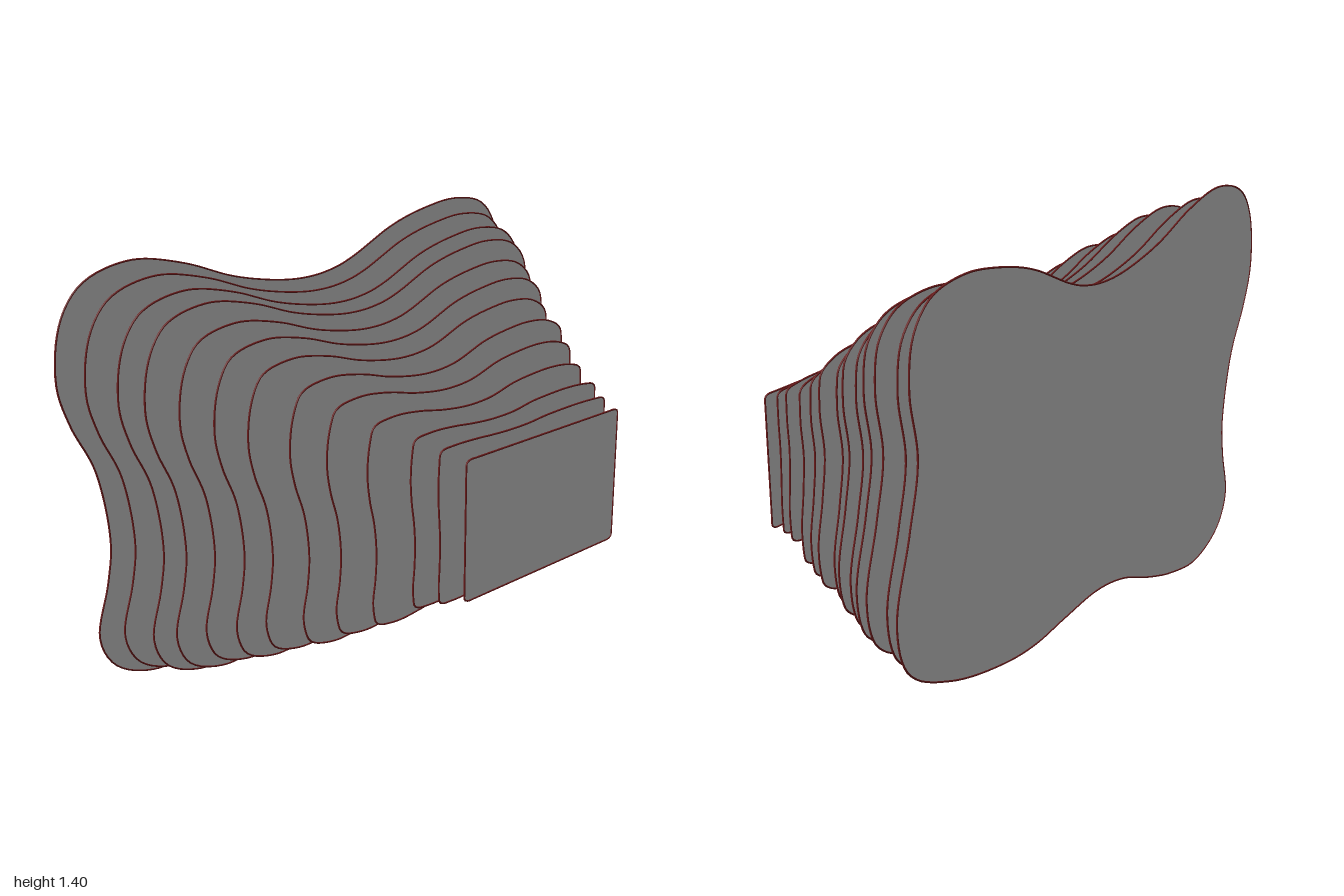
import * as THREE from 'three';

// Wavy outline of the rearmost plate, one list per side, each starting at its corner (counter-clockwise)
const SIDES = [
  [[-0.865, 0.075], [-0.71, 0.008], [-0.53, 0.03], [-0.37, 0.08], [-0.18, 0.155], [-0.02, 0.18], [0.17, 0.165], [0.33, 0.148], [0.49, 0.16], [0.755, 0.23]],
  [[0.945, 0.345], [0.99, 0.51], [0.93, 0.755], [0.89, 0.95], [0.92, 1.15]],
  [[0.9, 1.29], [0.83, 1.37], [0.69, 1.4], [0.54, 1.385], [0.38, 1.345], [0.13, 1.24], [-0.05, 1.22], [-0.31, 1.265], [-0.53, 1.345], [-0.72, 1.38]],
  [[-0.89, 1.335], [-0.97, 1.235], [-1, 1.05], [-0.965, 0.915], [-0.89, 0.75], [-0.855, 0.5], [-0.875, 0.37], [-0.92, 0.19]],
];

// Corners of the front plate, in the same order
const CORNERS = [[-0.175, 0.37], [0.55, 0.37], [0.55, 0.832], [-0.175, 0.832]];

// Each plate: z, left, right, bottom, top
const PLATES = [
  [-0.443, -0.998, 0.998, 0.005, 1.4],
  [-0.378, -0.94, 0.96, 0.03, 1.355],
  [-0.278, -0.895, 0.927, 0.045, 1.32],
  [-0.217, -0.845, 0.898, 0.065, 1.285],
  [-0.153, -0.77, 0.85, 0.095, 1.225],
  [-0.074, -0.705, 0.81, 0.12, 1.178],
  [-0.012, -0.63, 0.76, 0.15, 1.12],
  [0.082, -0.55, 0.725, 0.185, 1.066],
  [0.149, -0.465, 0.685, 0.222, 1.006],
  [0.228, -0.375, 0.64, 0.26, 0.946],
  [0.32, -0.285, 0.595, 0.33, 0.9],
  [0.38, -0.228, 0.567, 0.352, 0.863],
  [0.443, -0.175, 0.553, 0.37, 0.832],
];

const PER_SIDE = 36;

// Matching point lists for the wavy outline and the rectangle
function matchedOutlines() {
  const controls = SIDES.flat().map(([x, y]) => new THREE.Vector3(x, y, 0));
  const curve = new THREE.CatmullRomCurve3(controls, true);
  const wavy = [], rect = [];
  let first = 0;
  SIDES.forEach((side, k) => {
    const a = new THREE.Vector2(...CORNERS[k]);
    const b = new THREE.Vector2(...CORNERS[(k + 1) % 4]);
    const centre = new THREE.Vector2(0.1875, 0.601);
    for (let i = 0; i < PER_SIDE; i++) {
      const s = i / PER_SIDE;
      const p = curve.getPoint((first + side.length * s) / controls.length);
      wavy.push(new THREE.Vector2(p.x, p.y));
      const q = a.clone().lerp(b, s);
      // slightly rounded corner
      if (i === 0) q.add(new THREE.Vector2(Math.sign(centre.x - a.x), Math.sign(centre.y - a.y)).multiplyScalar(0.005));
      rect.push(q);
    }
    first += side.length;
  });
  return { wavy, rect };
}

// Blend the two outlines and fit the result to the plate's bounds
function plateOutline({ wavy, rect }, [, left, right, bottom, top]) {
  const t = (-0.175 - left) / (0.998 - 0.175);
  const pts = rect.map((p, i) => p.clone().lerp(wavy[i], t));
  const box = new THREE.Box2().setFromPoints(pts);
  const { mapLinear } = THREE.MathUtils;
  return pts.map((p) => new THREE.Vector2(
    mapLinear(p.x, box.min.x, box.max.x, left, right),
    mapLinear(p.y, box.min.y, box.max.y, bottom, top)));
}

export function createModel() {
  const model = new THREE.Group();
  model.name = 'layeredPlates';
  const grey = new THREE.MeshStandardMaterial({ color: 0xcccccc, side: THREE.DoubleSide });
  const red = new THREE.MeshStandardMaterial({ color: 0x6b1a1a });
  const outlines = matchedOutlines();

  PLATES.forEach((plate, i) => {
    const pts = plateOutline(outlines, plate);
    const layer = new THREE.Group();
    layer.name = `layer${i + 1}`;
    layer.position.z = plate[0];

    // flat sheet
    const sheet = new THREE.Mesh(new THREE.ShapeGeometry(new THREE.Shape(pts)), grey);
    sheet.name = 'plate';

    // thin dark rim
    const path = new THREE.CatmullRomCurve3(pts.map((p) => new THREE.Vector3(p.x, p.y, 0)), true);
    const rim = new THREE.Mesh(new THREE.TubeGeometry(path, 240, 0.003, 6, true), red);
    rim.name = 'rim';

    layer.add(sheet, rim);
    model.add(layer);
  });
  return model;
}
